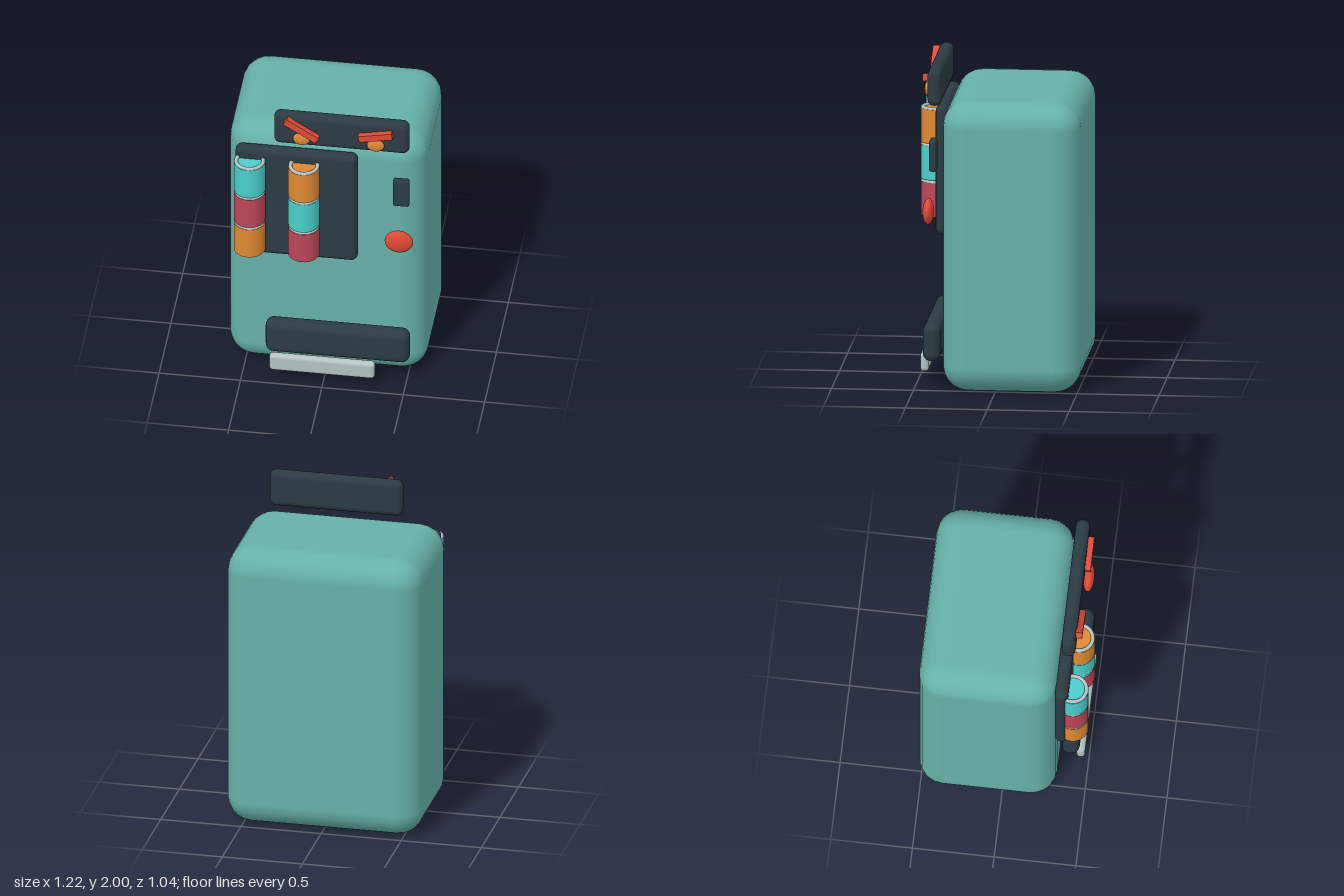
import * as THREE from 'three';
import { RoundedBoxGeometry } from 'three/addons/geometries/RoundedBoxGeometry.js';

const mat = (name, color) => {
  const m = new THREE.MeshStandardMaterial({ color });
  m.name = name;
  return m;
};

export function createModel() {
  const model = new THREE.Group();
  model.name = 'vendingMachine';

  const teal = mat('teal', 0x66b2a8);
  const dark = mat('darkSlate', 0x2c3b43);
  const silver = mat('silver', 0xb4c2c4);
  const red = mat('red', 0xe04a36);
  const orange = mat('orange', 0xdf8a32);
  const cyan = mat('cyan', 0x4bd0cc);
  const crimson = mat('crimson', 0xbd465a);

  const add = (name, geometry, material, x, y, z, parent = model) => {
    const mesh = new THREE.Mesh(geometry, material);
    mesh.name = name;
    mesh.position.set(x, y, z);
    parent.add(mesh);
    return mesh;
  };

  // Rounded box given by its extents on each axis
  const block = (name, material, [x0, x1], [y0, y1], [z0, z1], radius, segments = 3) =>
    add(name, new RoundedBoxGeometry(x1 - x0, y1 - y0, z1 - z0, segments, radius), material,
      (x0 + x1) / 2, (y0 + y1) / 2, (z0 + z1) / 2);

  // Cabinet and the panels on its front
  block('cabinet', teal, [-0.61, 0.61], [0, 1.8], [-0.52, 0.325], 0.16, 3);
  block('displayWindow', dark, [-0.55, 0.2], [0.9, 1.705], [0.315, 0.397], 0.04);
  block('headSign', dark, [-0.31, 0.52], [1.77, 2.0], [0.33, 0.415], 0.04);
  block('dispenserSlot', dark, [-0.36, 0.525], [0.18, 0.415], [0.337, 0.445], 0.05);
  block('tray', silver, [-0.33, 0.32], [0.075, 0.195], [0.425, 0.478], 0.025);
  block('coinSlot', dark, [0.42, 0.52], [1.365, 1.56], [0.36, 0.403], 0.012);

  // Button
  add('button', new THREE.SphereGeometry(1, 28, 18), red, 0.46, 1.107, 0.413)
    .scale.set(0.087, 0.079, 0.034);

  // Two columns of cans, top to bottom, each with a metal rim
  const columns = [
    { x: -0.455, colors: [cyan, crimson, orange] },
    { x: -0.122, colors: [orange, cyan, crimson] },
  ];
  const canBody = new THREE.CylinderGeometry(0.096, 0.096, 0.21, 28);
  const canRim = new THREE.TorusGeometry(0.083, 0.012, 10, 28).rotateX(Math.PI / 2);
  for (const { x, colors } of columns) {
    colors.forEach((color, row) => {
      const can = new THREE.Group();
      can.name = 'can';
      can.position.set(x, 1.523 - row * 0.228, 0.42);
      add('canBody', canBody, color, 0, 0, 0, can);
      add('canRim', canRim, silver, 0, 0.108, 0, can);
      model.add(can);
    });
  }

  // Eyes with slanted brows on the head sign
  const eye = new THREE.SphereGeometry(1, 24, 16);
  for (const [x, length, tilt] of [[-0.135, 0.23, -0.56], [0.32, 0.21, 0.2]]) {
    add('eye', eye, orange, x, 1.843, 0.43).scale.set(0.054, 0.045, 0.018);
    add('brow', new THREE.BoxGeometry(length, 0.044, 0.042), red, x, 1.912, 0.43)
      .rotation.z = tilt;
  }

  return model;
}
